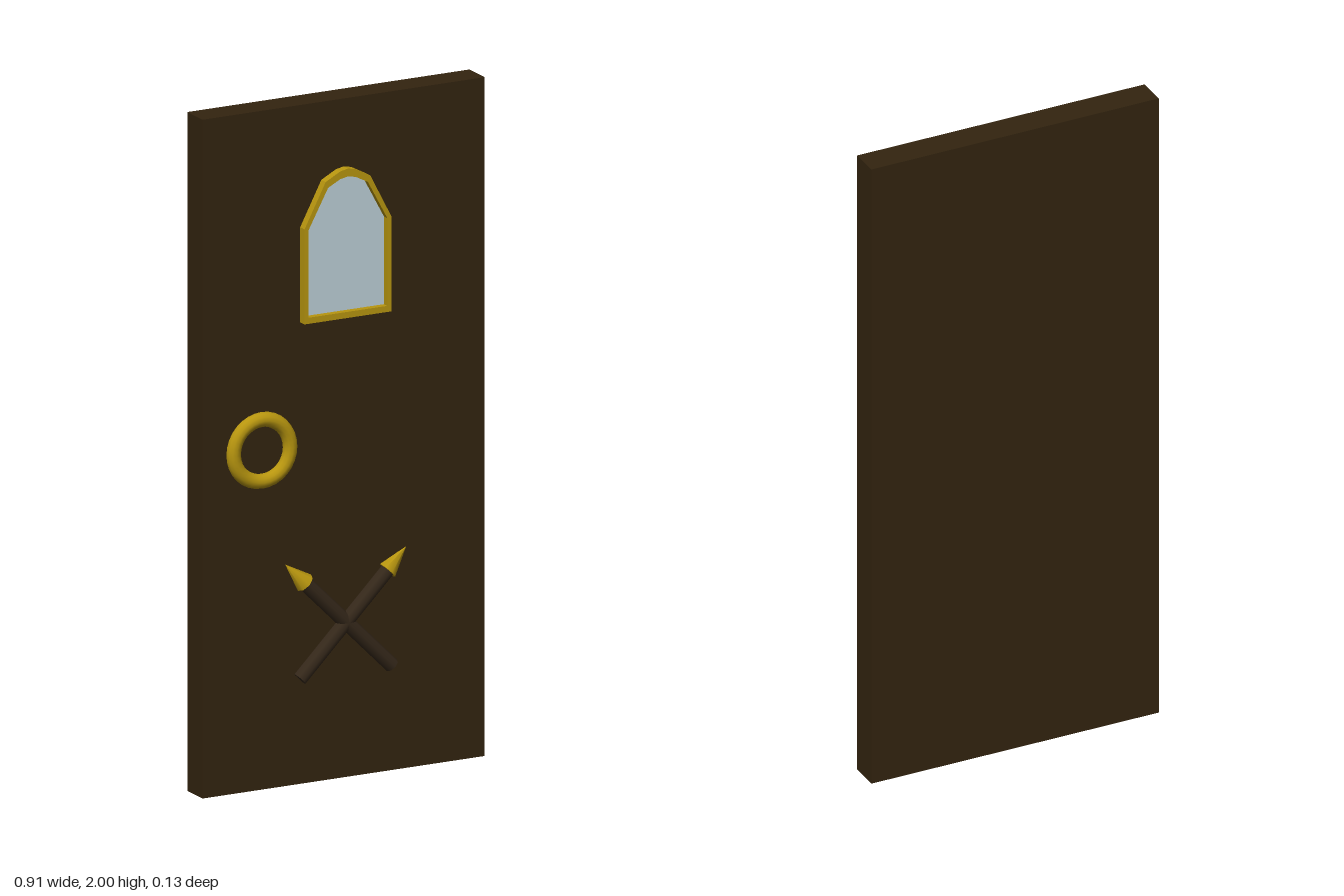
import * as THREE from 'three';

export function createModel() {
  const group = new THREE.Group();
  const paint = (name, color, flatShading = false) => {
    const m = new THREE.MeshStandardMaterial({ color, flatShading });
    m.name = name;
    return m;
  };
  const wood = paint('dark wood', 0x33240f);
  const shaftWood = paint('shaft wood', 0x35281a);
  const gold = paint('gold', 0xb8960f);
  const glass = paint('glass', 0xbdd0d8);
  const FRONT = 0.027; // front face of the door

  const add = (name, geometry, material, parent = group) => {
    const mesh = new THREE.Mesh(geometry, material);
    mesh.name = name;
    parent.add(mesh);
    return mesh;
  };

  // Door slab
  add('doorPanel', new THREE.BoxGeometry(0.91, 2, 0.09), wood).position.set(0, 1, FRONT - 0.045);

  // Arched window outline: half width, sill, spring line, shoulder, peak
  const arch = (w, sill, spring, shoulderX, shoulderY, peak) => [
    [-w, sill], [w, sill], [w, spring], [shoulderX, shoulderY], [0.025, peak - 0.005],
    [0, peak], [-0.025, peak - 0.005], [-shoulderX, shoulderY], [-w, spring],
  ].map(([x, y]) => new THREE.Vector2(x, y));
  const outer = arch(0.14, 1.36, 1.64, 0.072, 1.77, 1.8);
  const inner = arch(0.127, 1.378, 1.636, 0.064, 1.752, 1.777);

  // Window frame and pane
  const frameShape = new THREE.Shape(outer);
  frameShape.holes.push(new THREE.Path(inner));
  const frame = new THREE.ExtrudeGeometry(frameShape, { depth: 0.026, bevelEnabled: false });
  add('windowFrame', frame, gold).position.z = FRONT;
  const pane = new THREE.ExtrudeGeometry(new THREE.Shape(inner), { depth: 0.006, bevelEnabled: false });
  add('windowPane', pane, glass).position.z = FRONT;

  // Ring handle, half sunk in the door
  add('ringHandle', new THREE.TorusGeometry(0.091, 0.022, 12, 32), gold).position.set(-0.265, 1, FRONT);

  // Crossed spears
  for (const side of [1, -1]) {
    const spear = new THREE.Group();
    spear.name = side > 0 ? 'leftSpear' : 'rightSpear';
    spear.position.set(0.003, 0.46, 0.034);
    spear.rotation.z = -side * Math.PI / 4;
    add('spearShaft', new THREE.CylinderGeometry(0.022, 0.022, 0.4, 8), shaftWood, spear).position.y = -0.01;
    add('spearHead', new THREE.ConeGeometry(0.03, 0.088, 8), gold, spear).position.y = 0.232;
    group.add(spear);
  }

  return group;
}
